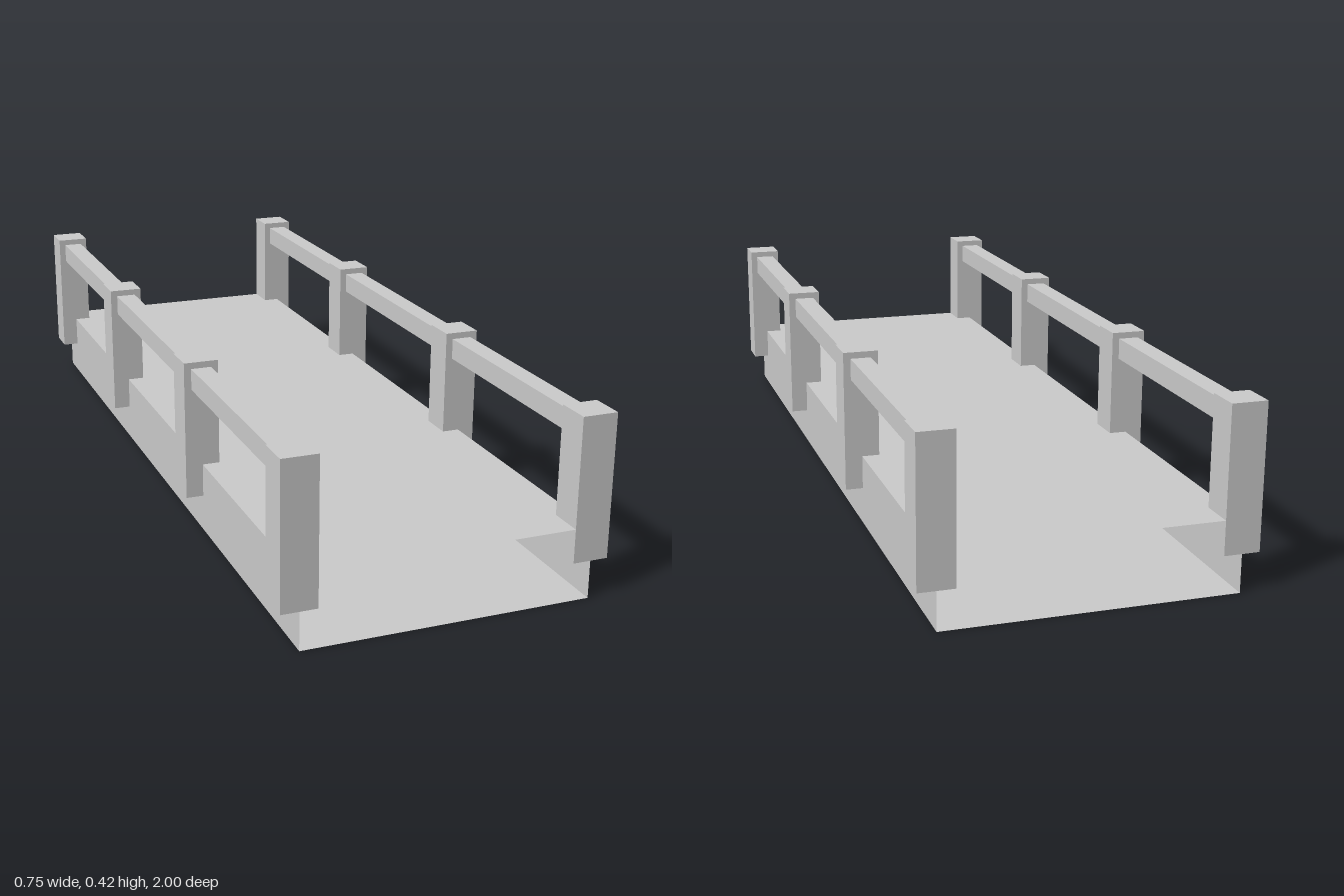
import * as THREE from 'three';

const material = new THREE.MeshStandardMaterial({ color: 0xcccccc, flatShading: true });
const shellMaterial = new THREE.MeshStandardMaterial({ color: 0xcccccc, flatShading: true, side: THREE.DoubleSide });

const SIDE_X = 0.333; // centre line of each railing and edge of the deck
const DECK_HEIGHT = 0.167;
const POST = 0.082;

function addBox(parent, name, size, position) {
  const mesh = new THREE.Mesh(new THREE.BoxGeometry(...size), material);
  mesh.name = name;
  mesh.position.set(...position);
  parent.add(mesh);
}

function addPanel(parent, name, width, position, rotation) {
  const mesh = new THREE.Mesh(new THREE.PlaneGeometry(width, 2), shellMaterial);
  mesh.name = name;
  // Lay the panel flat along z, then roll it about z into place
  mesh.geometry.rotateX(-Math.PI / 2).rotateZ(rotation);
  mesh.position.set(...position);
  parent.add(mesh);
}

export function createModel() {
  const bridge = new THREE.Group();
  bridge.name = 'bridge';

  // Hollow deck: four thin panels, open at both ends
  const deck = new THREE.Group();
  deck.name = 'deck';
  addPanel(deck, 'deckTop', SIDE_X * 2, [0, DECK_HEIGHT, 0], 0);
  addPanel(deck, 'deckBottom', SIDE_X * 2, [0, 0, 0], Math.PI);
  for (const side of [-1, 1]) {
    addPanel(deck, 'deckSide', DECK_HEIGHT, [side * SIDE_X, DECK_HEIGHT / 2, 0], -side * Math.PI / 2);
  }
  bridge.add(deck);

  // Railings: four posts and one handrail on each side
  for (const side of [-1, 1]) {
    const railing = new THREE.Group();
    railing.name = side > 0 ? 'leftRailing' : 'rightRailing';
    for (const z of [-0.959, -0.333, 0.333, 0.959]) {
      addBox(railing, 'post', [POST, 0.332, POST], [side * SIDE_X, 0.254, z]);
    }
    addBox(railing, 'handrail', [0.048, 0.05, 1.92], [side * SIDE_X, 0.38, 0]);
    bridge.add(railing);
  }
  return bridge;
}
